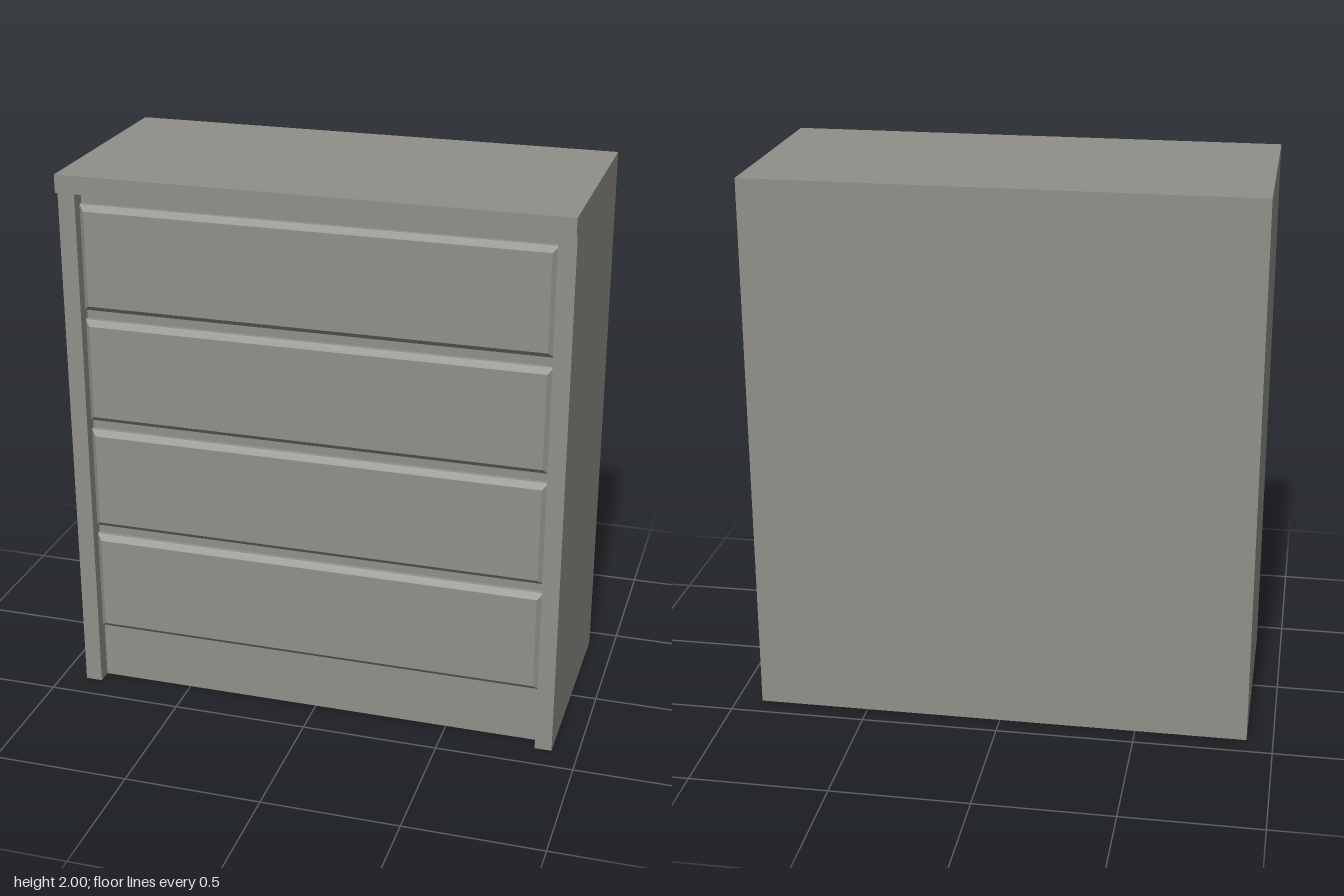
import * as THREE from 'three';

export function createModel() {
  const model = new THREE.Group();
  model.name = 'chestOfDrawers';
  const paint = new THREE.MeshStandardMaterial({ color: 0x908f89 });
  paint.name = 'warmGrey';

  const W = 0.905, INNER = 0.843, BACK = -0.42, FRONT = 0.4, RECESS = 0.345;

  // Box given by its minimum and maximum corners
  function box(name, [x0, y0, z0], [x1, y1, z1]) {
    const mesh = new THREE.Mesh(new THREE.BoxGeometry(x1 - x0, y1 - y0, z1 - z0), paint);
    mesh.position.set((x0 + x1) / 2, (y0 + y1) / 2, (z0 + z1) / 2);
    mesh.name = name;
    model.add(mesh);
  }

  // Carcass with a recessed front, side panels and an overhanging top
  box('carcass', [-INNER, 0, BACK], [INNER, 1.935, RECESS]);
  box('rightSidePanel', [-W, 0, BACK], [-INNER, 1.935, FRONT]);
  box('leftSidePanel', [INNER, 0, BACK], [W, 1.935, FRONT]);
  box('top', [-W, 1.935, BACK], [W, 2, 0.42]);

  // Drawer front: a plate with a chamfered rim
  const height = 0.388, chamfer = 0.02, w = INNER - chamfer, h = height / 2 - chamfer;
  const face = new THREE.Shape();
  face.moveTo(-w, -h);
  face.lineTo(w, -h);
  face.lineTo(w, h);
  face.lineTo(-w, h);
  face.closePath();
  const drawerGeometry = new THREE.ExtrudeGeometry(face, {
    depth: 0.015, bevelEnabled: true, bevelSegments: 1,
    bevelSize: chamfer, bevelThickness: chamfer,
  });

  // Four drawers; the rear chamfer is sunk into the carcass
  for (let i = 0; i < 4; i++) {
    const drawer = new THREE.Mesh(drawerGeometry, paint);
    drawer.name = 'drawer' + (i + 1);
    drawer.position.set(0, 0.223 + height / 2 + i * 0.424, RECESS);
    model.add(drawer);
  }
  return model;
}
